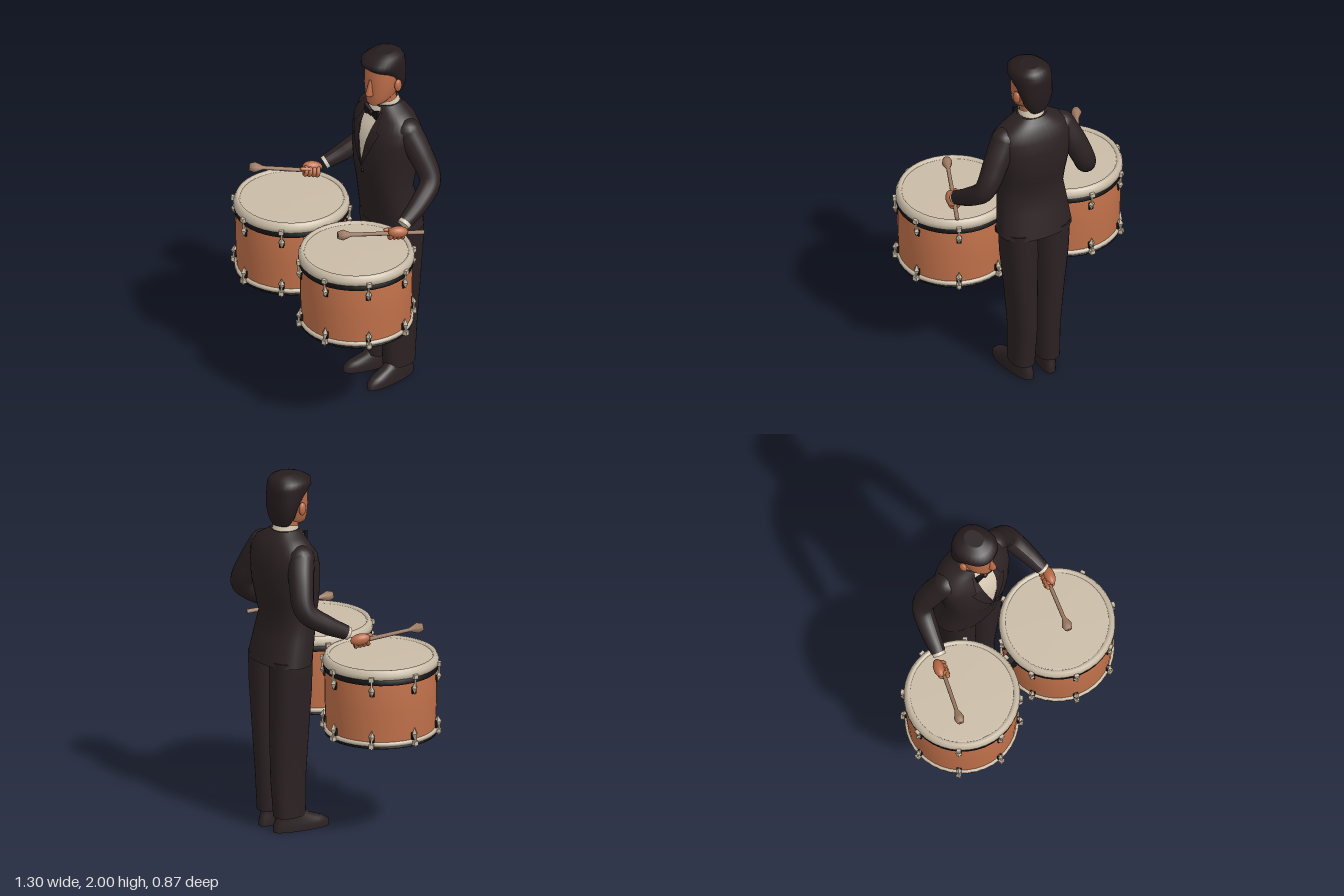
import * as THREE from 'three';

const mat = (name, color, side = THREE.FrontSide) => {
  const m = new THREE.MeshStandardMaterial({ color, side });
  m.name = name;
  return m;
};
const V = (x, y, z) => new THREE.Vector3(x, y, z);
const BULGE = 0.88;

// Stacked rounded cross-sections, bottom to top: [y, centreX, centreZ, radiusX, radiusZ]
function loft(sections, n = 28) {
  const pos = [], idx = [];
  const ring = ([y, cx, cz, rx, rz]) => {
    for (let j = 0; j < n; j++) {
      const a = (j / n) * Math.PI * 2, c = Math.cos(a), s = Math.sin(a);
      pos.push(cx + rx * Math.sign(c) * Math.abs(c) ** BULGE, y, cz + rz * Math.sign(s) * Math.abs(s) ** BULGE);
    }
  };
  sections.forEach(ring);
  for (let i = 0; i < sections.length - 1; i++) {
    for (let j = 0; j < n; j++) {
      const a = i * n + j, b = i * n + (j + 1) % n;
      idx.push(a, a + n, b, b, a + n, b + n);
    }
  }
  [sections[0], sections[sections.length - 1]].forEach((s, k) => {
    const base = pos.length / 3;
    ring(s);
    pos.push(s[1], s[0], s[2]);
    for (let j = 0; j < n; j++) {
      const a = base + j, b = base + (j + 1) % n;
      if (k) idx.push(base + n, b, a); else idx.push(base + n, a, b);
    }
  });
  return surface(pos, idx);
}

function surface(pos, idx) {
  const g = new THREE.BufferGeometry();
  g.setAttribute('position', new THREE.Float32BufferAttribute(pos, 3));
  g.setIndex(idx);
  g.computeVertexNormals();
  return g;
}

// Front surface of a loft at (x, y)
function frontZ(sections, x, y) {
  let i = 0;
  while (i < sections.length - 2 && sections[i + 1][0] < y) i++;
  const p = sections[i], q = sections[i + 1], t = (y - p[0]) / (q[0] - p[0]);
  const [, cx, cz, rx, rz] = p.map((v, k) => v + (q[k] - v) * t);
  const c = Math.min(1, Math.abs(x - cx) / rx) ** (1 / BULGE);
  return cz + rz * Math.sqrt(1 - c * c) ** BULGE;
}

// Thin cloth panel lying on a loft; rows are [y, xMin, xMax], bottom to top
function panel(sections, rows, lift, n = 6) {
  const pos = [], idx = [], sub = 4, all = [];
  rows.forEach((r, i) => {
    if (!i) return all.push(r);
    for (let k = 1; k <= sub; k++) all.push(r.map((v, m) => rows[i - 1][m] + (v - rows[i - 1][m]) * k / sub));
  });
  all.forEach(([y, x0, x1], i) => {
    for (let j = 0; j <= n; j++) {
      const x = x0 + (x1 - x0) * j / n;
      pos.push(x, y, frontZ(sections, x, y) + lift);
      if (i && j) {
        const d = i * (n + 1) + j, b = d - n - 1;
        idx.push(b - 1, b, d - 1, b, d, d - 1);
      }
    }
  });
  return surface(pos, idx);
}

// Tube of changing radius through [x, y, z, radius] points
function limb(pts) {
  const curve = new THREE.CatmullRomCurve3(pts.map(p => V(p[0], p[1], p[2])));
  const rings = 20, sides = 14, g = new THREE.TubeGeometry(curve, rings, 1, sides), p = g.attributes.position;
  for (let i = 0; i <= rings; i++) {
    const c = curve.getPointAt(i / rings), f = curve.getUtoTmapping(i / rings) * (pts.length - 1);
    const k = Math.min(pts.length - 2, Math.floor(f));
    const r = THREE.MathUtils.lerp(pts[k][3], pts[k + 1][3], f - k);
    for (let j = 0; j <= sides; j++) {
      const q = i * (sides + 1) + j, v = V().fromBufferAttribute(p, q).sub(c).multiplyScalar(r).add(c);
      p.setXYZ(q, v.x, v.y, v.z);
    }
  }
  g.computeVertexNormals();
  return g;
}

export function createModel() {
  const model = new THREE.Group();
  const suit = mat('suit black', 0x2b2123), hair = mat('hair black', 0x261c1e), skin = mat('skin', 0xb96b47);
  const shirt = mat('shirt cream', 0xd6c8b2, THREE.DoubleSide), shell = mat('drum shell copper', 0xc1714a);
  const cream = mat('drum cream', 0xc9bba6, THREE.DoubleSide), black = mat('fitting black', 0x181314);
  const wood = mat('stick wood', 0x9c7a63);
  const add = (name, geo, material, parent = model, at) => {
    const m = new THREE.Mesh(geo, material);
    m.name = name;
    if (at) m.position.set(...at);
    parent.add(m);
    return m;
  };
  const group = (name, x = 0, y = 0, z = 0) => {
    const g = new THREE.Group();
    g.name = name;
    g.position.set(x, y, z);
    model.add(g);
    return g;
  };
  const ball = (name, material, parent, at, sx, sy, sz) =>
    add(name, new THREE.SphereGeometry(1, 16, 12), material, parent, at).scale.set(sx, sy, sz);
  const lathe = pts => new THREE.LatheGeometry(pts.map(p => new THREE.Vector2(...p)), 40);
  const X = 0.07;

  // Jacket, shirt front, lapels and bow tie
  const torso = [
    [0.955, X, -0.305, 0.212, 0.135], [1.1, X, -0.277, 0.197, 0.13], [1.2, X, -0.256, 0.186, 0.125],
    [1.3, X, -0.26, 0.192, 0.148], [1.4, X, -0.268, 0.207, 0.16], [1.5, X, -0.273, 0.22, 0.156],
    [1.57, X, -0.277, 0.222, 0.138], [1.625, X, -0.284, 0.185, 0.11], [1.66, X, -0.28, 0.125, 0.09],
    [1.69, X, -0.275, 0.08, 0.072]];
  add('jacket', loft(torso, 36), suit);
  add('shirtFront', panel(torso, [[1.37, 0.069, 0.071], [1.5, 0.035, 0.11], [1.63, 0.01, 0.13], [1.68, 0.025, 0.115]], 0.005), shirt);
  const lapel = [[1.33, 0.066, 0.07], [1.45, 0.0, 0.048], [1.56, -0.045, 0.024], [1.57, -0.02, 0.022], [1.66, 0.0, 0.014]];
  add('rightLapel', panel(torso, lapel, 0.009), suit);
  add('leftLapel', panel(torso, lapel.map(([y, a, b]) => [y, 2 * X - b, 2 * X - a]), 0.009), suit);
  add('jacketButton', new THREE.SphereGeometry(0.009, 8, 6), black, model, [X, 1.3, frontZ(torso, X, 1.3)]);
  const bow = new THREE.Shape([[-0.057, -0.032], [-0.012, -0.012], [0.012, -0.012], [0.057, -0.032],
    [0.057, 0.032], [0.012, 0.012], [-0.012, 0.012], [-0.057, 0.032]].map(p => new THREE.Vector2(...p)));
  add('bowTie', new THREE.ExtrudeGeometry(bow, { depth: 0.018, bevelEnabled: false }), black, model, [X, 1.638, -0.182]);
  ball('bowKnot', black, model, [X, 1.638, -0.168], 0.015, 0.016, 0.014);

  // Trousers and shoes
  const leg = [[0.085, -0.005, -0.297, 0.066, 0.093], [0.3, 0, -0.302, 0.07, 0.103], [0.55, -0.01, -0.303, 0.08, 0.113],
    [0.8, -0.022, -0.303, 0.096, 0.119], [0.98, -0.027, -0.303, 0.1, 0.12]];
  const shoe = [[0, 0, 0.07, 0.05, 0.165], [0.03, 0, 0.07, 0.051, 0.165], [0.055, 0, 0.06, 0.048, 0.145],
    [0.085, 0, 0.02, 0.044, 0.1], [0.13, 0, 0, 0.042, 0.075]];
  for (const s of [-1, 1]) {
    const side = s < 0 ? 'right' : 'left';
    add(side + 'Trouser', loft(leg.map(([y, x, ...r]) => [y, s < 0 ? x : 2 * X - x, ...r])), suit);
    add(side + 'Shoe', loft(shoe), suit, model, [X + s * 0.077, 0, -0.3]).rotation.y = s * 0.17;
  }

  // Neck and shirt collar
  add('neck', loft([[1.58, X, -0.275, 0.062, 0.06], [1.66, X, -0.265, 0.056, 0.058], [1.77, X, -0.255, 0.056, 0.058]]), skin);
  const collar = add('shirtCollar', new THREE.CylinderGeometry(0.066, 0.074, 0.06, 24, 1, true), shirt, model, [X, 1.687, -0.269]);
  collar.rotation.x = 0.22;

  // Head, turned slightly to its left
  const head = group('head', X, 0, -0.24);
  head.rotation.y = 0.25;
  add('face', loft([[1.7, 0, 0.06, 0.026, 0.028], [1.715, 0, 0.043, 0.05, 0.056], [1.75, 0, 0.013, 0.074, 0.085],
    [1.82, 0, 0, 0.087, 0.1], [1.9, 0, -0.006, 0.088, 0.1], [1.95, 0, -0.01, 0.08, 0.09]]), skin, head);
  add('nose', loft([[1.768, 0, 0.1, 0.018, 0.024], [1.782, 0, 0.104, 0.019, 0.026], [1.86, 0, 0.088, 0.009, 0.012]], 10), skin, head);
  add('hair', loft([[1.72, 0, -0.075, 0.05, 0.03], [1.76, 0, -0.071, 0.077, 0.05], [1.82, 0, -0.066, 0.096, 0.062],
    [1.87, 0, -0.045, 0.101, 0.086], [1.91, 0, -0.02, 0.106, 0.112], [1.932, 0, -0.008, 0.108, 0.125],
    [1.962, 0, -0.004, 0.105, 0.122], [1.985, 0.006, -0.014, 0.084, 0.096], [2, 0.01, -0.02, 0.045, 0.055]]), hair, head);
  for (const s of [-1, 1]) ball('ear', skin, head, [s * 0.1, 1.815, -0.015], 0.016, 0.036, 0.024);

  // Sleeves, cuffs, hands and sticks
  const arms = [
    { side: 'right', s: -1, butt: V(-0.315, 1.11, -0.1), tip: V(-0.475, 1.175, 0.245), grip: 0.12,
      path: [[-0.1, 1.565, -0.29, 0.075], [-0.16, 1.45, -0.33, 0.068], [-0.218, 1.31, -0.345, 0.059], [-0.262, 1.225, -0.24, 0.052], [-0.295, 1.17, -0.135, 0.04]] },
    { side: 'left', s: 1, butt: V(0.49, 1.08, -0.22), tip: V(0.32, 1.13, 0.225), grip: 0.33,
      path: [[0.24, 1.565, -0.29, 0.075], [0.31, 1.45, -0.32, 0.068], [0.383, 1.31, -0.335, 0.059], [0.42, 1.22, -0.24, 0.052], [0.443, 1.15, -0.13, 0.04]] }];
  for (const { side, s, butt, tip, grip, path } of arms) {
    add(side + 'Sleeve', limb(path), suit);
    ball(side + 'Shoulder', suit, model, path[0].slice(0, 3), 0.075, 0.072, 0.075);
    const a = V(...path[3]), w = V(...path[4]), dir = w.clone().sub(a).normalize();
    const cuff = add(side + 'Cuff', new THREE.CylinderGeometry(0.036, 0.036, 0.03, 16), shirt);
    cuff.position.copy(w).addScaledVector(dir, 0.004);
    cuff.quaternion.setFromUnitVectors(V(0, 1, 0), dir);

    const along = tip.clone().sub(butt), L = along.length();
    along.normalize();
    const stick = add(side + 'Stick', new THREE.LatheGeometry([[0, 0], [0.012, 0], [0.011, L - 0.075], [0.029, L - 0.03],
      [0.02, L], [0, L]].map(p => new THREE.Vector2(...p)), 8), wood);
    stick.position.copy(butt);
    stick.quaternion.setFromUnitVectors(V(0, 1, 0), along);

    const hand = group(side + 'Hand');
    hand.position.lerpVectors(butt, tip, grip);
    hand.quaternion.setFromUnitVectors(V(0, 0, 1), along);
    ball('palm', skin, hand, [s * 0.016, 0.016, -0.008], 0.03, 0.032, 0.055);
    for (let i = 0; i < 4; i++) {
      add('finger', new THREE.TorusGeometry(0.022, 0.012, 6, 14), skin, hand, [0, -0.003, -0.036 + i * 0.022]);
    }
    const thumb = add('thumb', new THREE.CapsuleGeometry(0.011, 0.04, 4, 8), skin, hand, [-s * 0.016, 0.014, 0.035]);
    thumb.rotation.x = Math.PI / 2;
  }

  // Drums: shell, hoops, heads and eight pairs of tension lugs
  const R = 0.302;
  const drum = (name, x, z, turn) => {
    const g = group(name, x, 0, z);
    add('shell', lathe([[0.294, 0.6], [0.298, 0.68], [R, 0.78], [R, 0.87], [0.296, 0.95]]), shell, g);
    add('upperBand', lathe([[0.29, 0.935], [0.308, 0.935], [0.31, 0.975], [0.29, 0.975]]), black, g);
    add('upperHoop', lathe([[0.3, 0.968], [0.313, 0.968], [0.311, 0.99], [0.3, 1.014], [0.285, 1.016], [0.278, 1.004]]), cream, g);
    add('drumHead', lathe([[0.285, 1.002], [0.27, 1.006], [0, 1.008]]), cream, g);
    add('lowerHoop', lathe([[0.29, 0.59], [0.307, 0.59], [0.307, 0.608], [0.29, 0.612]]), cream, g);
    add('lowerBand', lathe([[0, 0.574], [0.302, 0.574], [0.304, 0.592], [0.29, 0.592]]), black, g);
    for (let i = 0; i < 8; i++) {
      const lug = new THREE.Group();
      lug.name = 'tensionLug';
      lug.rotation.y = turn + i * Math.PI / 4;
      g.add(lug);
      for (const [y, yRod, yHook] of [[0.905, 0.935, 0.972], [0.645, 0.615, 0.594]]) {
        add('lugBody', new THREE.OctahedronGeometry(1), cream, lug, [0, y, R + 0.008]).scale.set(0.017, 0.036, 0.02);
        add('lugPlate', new THREE.BoxGeometry(0.026, 0.04, 0.012), black, lug, [0, y - 0.014, R]);
        add('rod', new THREE.CylinderGeometry(0.006, 0.006, 0.08, 6), cream, lug, [0, yRod, R + 0.014]);
        add('claw', new THREE.BoxGeometry(0.026, 0.024, 0.028), cream, lug, [0, yHook, R + 0.012]);
      }
      add('foot', new THREE.ConeGeometry(0.01, 0.03, 6), cream, lug, [0, 0.577, R + 0.012]).rotation.x = Math.PI;
    }
  };
  drum('rightDrum', -0.318, 0.08, 0);
  drum('leftDrum', 0.335, 0.115, Math.PI / 8);
  add('drumCoupling', new THREE.BoxGeometry(0.06, 0.1, 0.06), black, model, [0.008, 0.93, 0.095]);
  return model;
}
